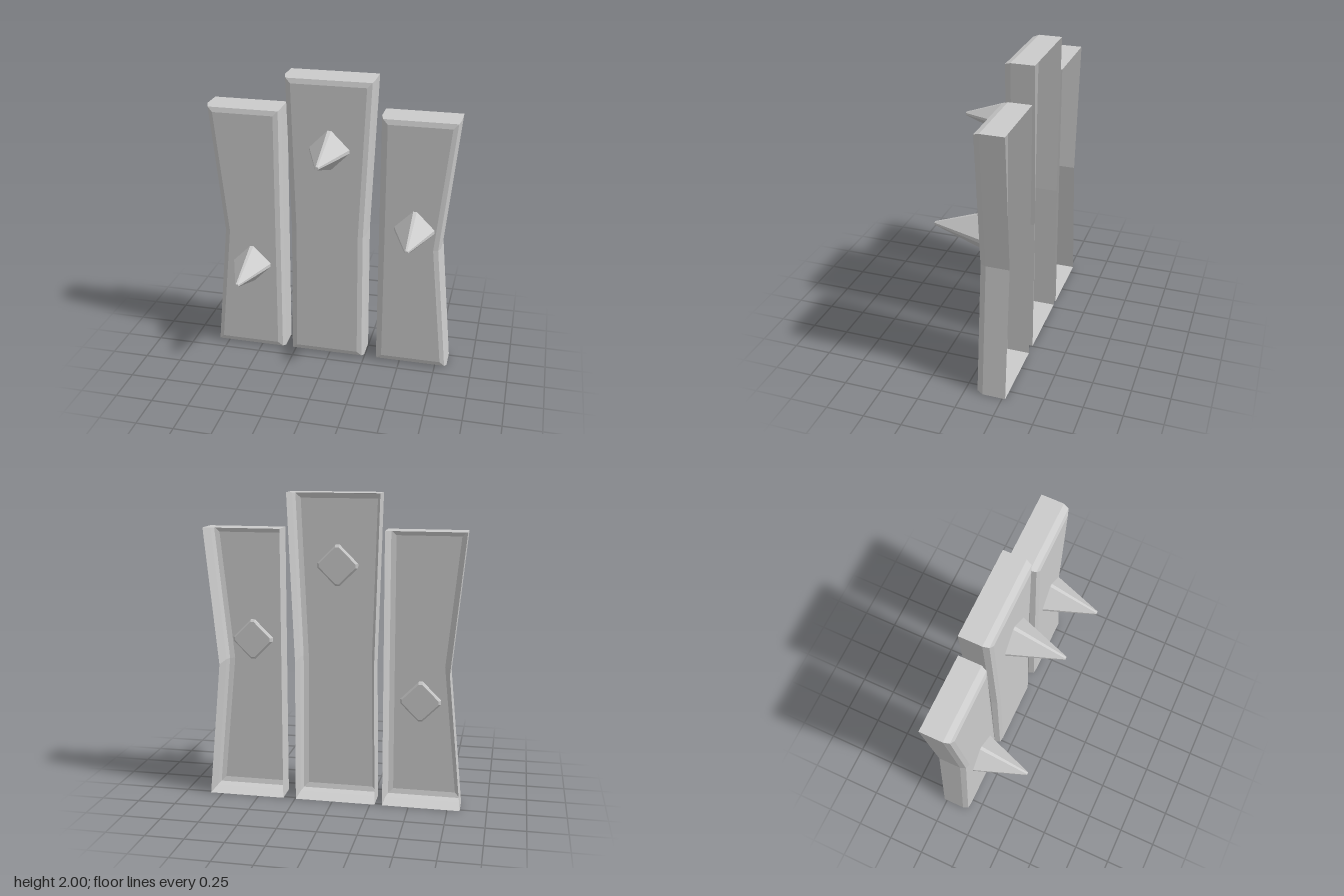
import * as THREE from 'three';

const material = new THREE.MeshStandardMaterial({ color: 0xcccccc, flatShading: true, side: THREE.DoubleSide });

// Joins equal, counter-clockwise rings of [x, y, z], ordered from back to front
function loft(name, rings, caps) {
  const n = rings[0].length;
  const index = [];
  for (let r = 0; r < rings.length - 1; r++) {
    for (let i = 0; i < n; i++) {
      const a = r * n + i, b = r * n + (i + 1) % n;
      index.push(a, b, b + n, a, b + n, a + n);
    }
  }
  index.push(...caps);
  const indexed = new THREE.BufferGeometry();
  indexed.setAttribute('position', new THREE.Float32BufferAttribute(rings.flat(2), 3));
  indexed.setIndex(index);
  const geometry = indexed.toNonIndexed();
  geometry.computeVertexNormals();
  const mesh = new THREE.Mesh(geometry, material);
  mesh.name = name;
  return mesh;
}

// Hollow plank, open at the back, with a rounded front rim
function plank(name, outline) {
  const [, , , top] = outline;
  const profile = [[-0.27, 0], [-0.12, 0], [-0.083, 0.013], [-0.072, 0.045]];
  const middle = (outline[0][0] + outline[1][0]) / 2;
  const rings = profile.map(([z, inset]) => outline.map(([x, y]) => [
    x + (x < middle ? inset : -inset),
    y === 0 ? inset : y === top[1] ? y - inset : y,
    z,
  ]));
  const f = (rings.length - 1) * outline.length;
  const front = [0, 1, 2, 0, 2, 5, 5, 2, 3, 5, 3, 4].map((i) => i + f);
  return loft(name, rings, front);
}

// Four-sided spike with narrow chamfers along its edges
function spike(name, x, y) {
  const profile = [[-0.1, 0.118, 0.012], [-0.088, 0.132, 0.014], [-0.07, 0.132, 0.012], [0.27, 0.01, 0.006]];
  const rings = profile.map(([z, r, c]) => [
    [r, -c], [r, c], [c, r], [-c, r], [-r, c], [-r, -c], [-c, -r], [c, -r],
  ].map(([px, py]) => [px, py, z]));
  const caps = [];
  const tip = (rings.length - 1) * 8;
  for (let i = 1; i < 7; i++) caps.push(0, i + 1, i, tip, tip + i, tip + i + 1);
  const mesh = loft(name, rings, caps);
  mesh.position.set(x, y, 0);
  return mesh;
}

export function createModel() {
  const model = new THREE.Group();
  model.name = 'spikedPlanks';

  // Outer planks mirror each other, with a waist on the outer edge
  const side = [[0.33, 0], [0.83, 0], [0.745, 0.89], [0.83, 1.775], [0.33, 1.775], [0.33, 0.89]];
  const mirrored = [1, 0, 5, 4, 3, 2].map((i) => [-side[i][0], side[i][1]]);
  model.add(plank('leftPlank', side), plank('rightPlank', mirrored));

  // Taller centre plank
  model.add(plank('centrePlank', [
    [-0.28, 0], [0.245, 0], [0.24, 0.93], [0.285, 2], [-0.3, 2], [-0.27, 0.93],
  ]));

  // One spike per plank, at different heights
  model.add(
    spike('leftSpike', 0.57, 1.025),
    spike('centreSpike', 0, 1.53),
    spike('rightSpike', -0.547, 0.657),
  );
  return model;
}
